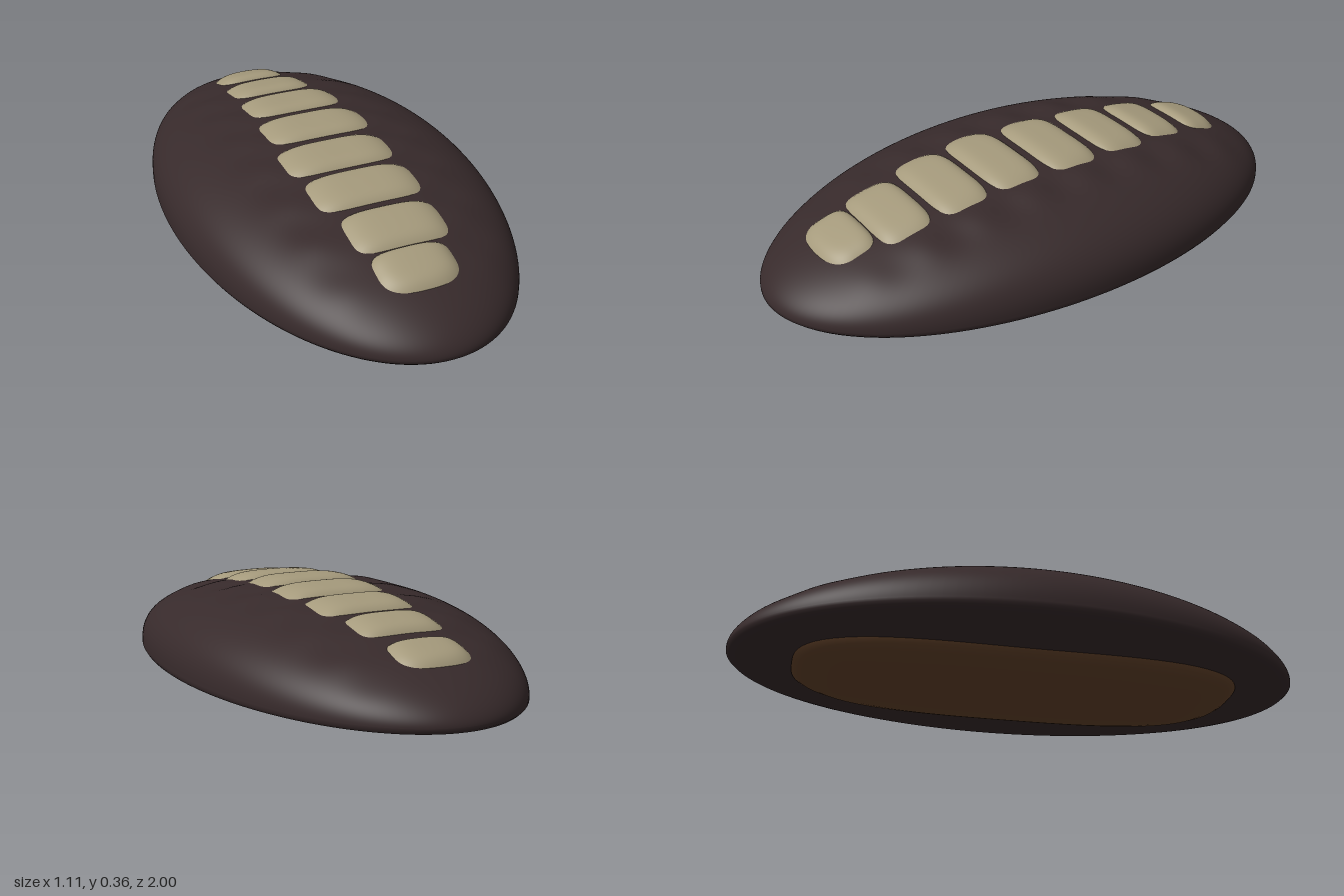
import * as THREE from 'three';

const HALF_WIDTH = 0.555;

// Closed loops of points, from the upper centre outwards and then underneath
function loft(rings, segments, point) {
  const positions = [], index = [];
  for (let i = 0; i <= rings; i++) {
    for (let j = 0; j < segments; j++) {
      positions.push(...point(i / rings, (j / segments) * Math.PI * 2));
    }
  }
  for (let i = 0; i < rings; i++) {
    for (let j = 0; j < segments; j++) {
      const a = i * segments + j, c = i * segments + ((j + 1) % segments);
      const b = a + segments, d = c + segments;
      index.push(a, c, b, c, d, b);
    }
  }
  const geometry = new THREE.BufferGeometry();
  geometry.setAttribute('position', new THREE.Float32BufferAttribute(positions, 3));
  geometry.setIndex(index);
  geometry.computeVertexNormals();
  return geometry;
}

// Point of a unit superellipse
function superellipse(angle, n) {
  const c = Math.cos(angle), s = Math.sin(angle);
  const k = Math.pow(Math.abs(c) ** n + Math.abs(s) ** n, -1 / n);
  return [c * k, s * k];
}

// Height of the domed back, with soft transverse wrinkles beside the plates
function backHeight(x, z) {
  const u = x / HALF_WIDTH;
  const rho = Math.min(1, Math.hypot(u, z));
  const side = rho > 0 ? (u * u) / (rho * rho) : 0;
  const dome = Math.pow(Math.max(0, 1 - Math.pow(rho, 2 + 0.5 * side)), 0.58 - 0.16 * side);
  const band = Math.exp(-(((Math.abs(x) - 0.25) / 0.075) ** 2)) * Math.max(0, 1 - rho ** 4);
  return 0.085 + 0.25 * dome + 0.006 * band * Math.cos(((z - 0.14) / 0.21) * Math.PI * 2);
}

// Piecewise linear profile lookup
function along(profile, t) {
  const f = t * (profile.length - 1), i = Math.min(Math.floor(f), profile.length - 2);
  return profile[i].map((v, k) => v + (profile[i + 1][k] - v) * (f - i));
}

export function createModel() {
  const girdleMaterial = new THREE.MeshStandardMaterial({ color: 0x372a2b });
  girdleMaterial.name = 'dark brown girdle';
  const plateMaterial = new THREE.MeshStandardMaterial({ color: 0xa59a7c });
  plateMaterial.name = 'beige plate';
  const footMaterial = new THREE.MeshStandardMaterial({ color: 0x64432a });
  footMaterial.name = 'brown foot';

  const model = new THREE.Group();
  model.name = 'chiton';
  const add = (name, geometry, material, parent = model) => {
    const mesh = new THREE.Mesh(geometry, material);
    mesh.name = name;
    parent.add(mesh);
  };

  // Domed girdle
  add('girdle', loft(72, 144, (t, angle) => {
    const rho = Math.sin((t * Math.PI) / 2);
    const x = HALF_WIDTH * rho * Math.cos(angle), z = rho * Math.sin(angle);
    return [x, backHeight(x, z), z];
  }), girdleMaterial);

  // Rolled rim and shallow underside
  const underside = [[1, 0.085], [1, 0.075], [0.99, 0.066], [0.965, 0.06], [0.85, 0.051], [0.7, 0.044], [0.55, 0.038], [0, 0.038]];
  add('underside', loft(underside.length - 1, 144, (t, angle) => {
    const [rho, y] = along(underside, t);
    return [HALF_WIDTH * rho * Math.cos(angle), y, rho * Math.sin(angle)];
  }), girdleMaterial);

  // Flat crawling foot
  const foot = [[1, 0.06], [1, 0.045], [0.97, 0.03], [0.92, 0.016], [0.84, 0.007], [0.6, 0.002], [0, 0]];
  add('foot', loft(foot.length - 1, 96, (t, angle) => {
    const [s, y] = along(foot, t);
    const [x, z] = superellipse(angle, 3);
    return [0.31 * s * x, y, 0.78 * s * z];
  }), footMaterial);

  // Row of eight plates: left edge, right edge, rear and front
  const plates = new THREE.Group();
  plates.name = 'plates';
  model.add(plates);
  [
    [-0.14, 0.125, -0.82, -0.65],
    [-0.16, 0.15, -0.61, -0.43],
    [-0.175, 0.185, -0.41, -0.21],
    [-0.19, 0.2, -0.19, 0.02],
    [-0.21, 0.19, 0.04, 0.24],
    [-0.195, 0.19, 0.25, 0.45],
    [-0.16, 0.18, 0.465, 0.66],
    [-0.14, 0.135, 0.655, 0.83],
  ].forEach(([x0, x1, z0, z1], i) => {
    const geometry = loft(16, 64, (t, angle) => {
      const s = Math.sin((t * Math.PI) / 2);
      // The end plates have a rounder outer edge
      const outer = (i === 0 && Math.sin(angle) < 0) || (i === 7 && Math.sin(angle) > 0);
      const [u, v] = superellipse(angle, outer ? 2.5 : 4.5);
      const x = (x0 + x1) / 2 + ((x1 - x0) / 2) * s * u * 1.01;
      const z = (z0 + z1) / 2 + ((z1 - z0) / 2) * s * v * 1.01;
      return [x, backHeight(x, z) - 0.006 + 0.027 * (1 - s ** 5), z];
    });
    add('plate' + (i + 1), geometry, plateMaterial, plates);
  });

  return model;
}
